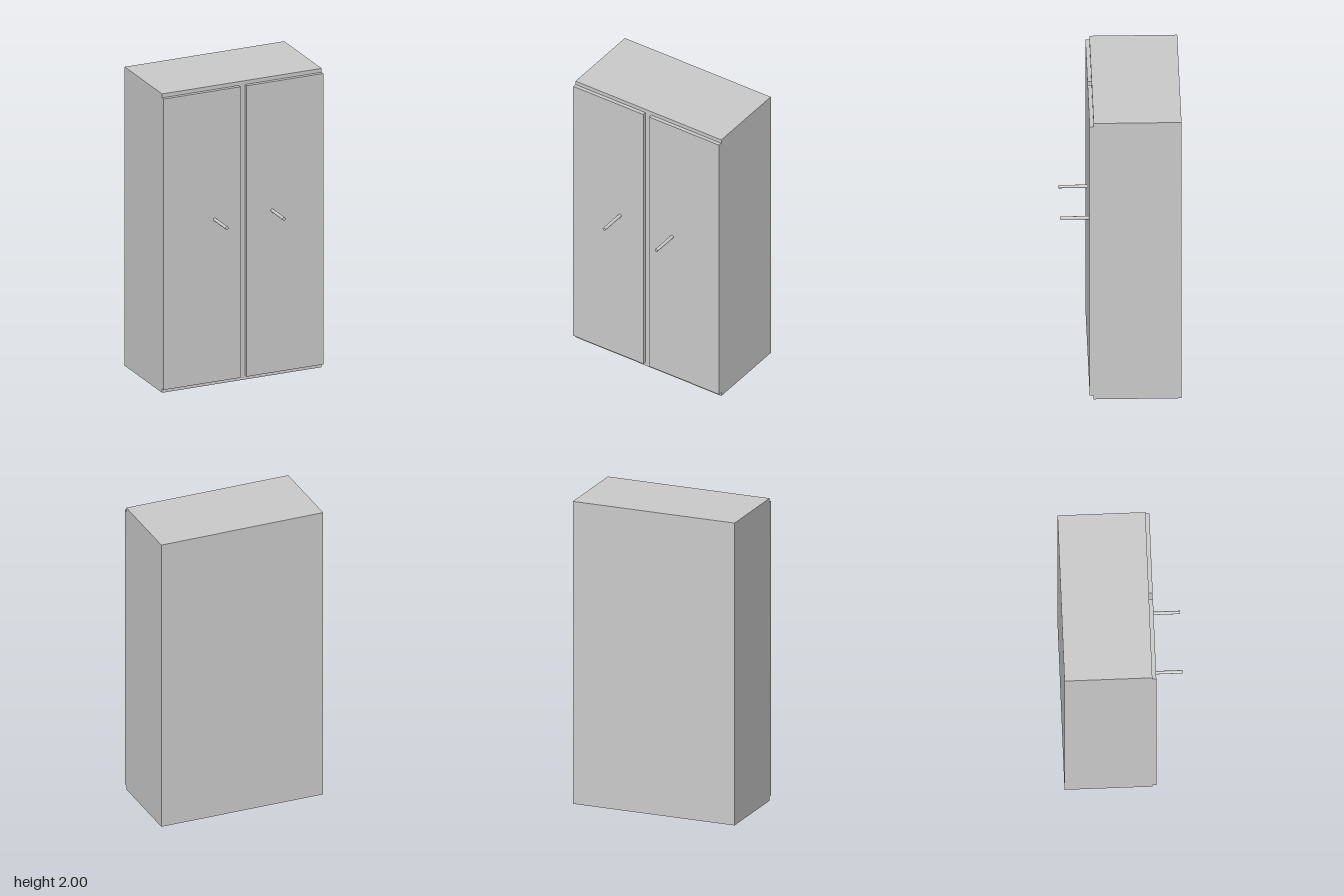
import * as THREE from 'three';

const material = new THREE.MeshStandardMaterial({ color: 0xcccccc });

function addMesh(parent, name, geometry, x, y, z) {
  const mesh = new THREE.Mesh(geometry, material);
  mesh.name = name;
  mesh.position.set(x, y, z);
  parent.add(mesh);
  return mesh;
}

export function createModel() {
  const wardrobe = new THREE.Group();
  wardrobe.name = 'wardrobe';

  const halfWidth = 0.555, height = 2;
  const back = -0.378, front = 0.175, doorFront = 0.2, handleEnd = 0.378;

  // Cabinet body
  addMesh(wardrobe, 'cabinetBody',
    new THREE.BoxGeometry(halfWidth * 2, height, front - back),
    0, height / 2, (front + back) / 2);

  // Two mirrored doors, each with a straight rod handle
  const gap = 0.022, doorBottom = 0.027, doorTop = 1.974;
  const doorGeometry = new THREE.BoxGeometry(halfWidth - gap, doorTop - doorBottom, doorFront - front);
  const handleGeometry = new THREE.CylinderGeometry(0.0105, 0.0105, handleEnd - doorFront, 24);
  handleGeometry.rotateX(Math.PI / 2);

  for (const [side, sign] of [['left', 1], ['right', -1]]) {
    const door = new THREE.Group();
    door.name = side + 'DoorAssembly';
    addMesh(door, side + 'Door', doorGeometry,
      sign * (halfWidth + gap) / 2, (doorTop + doorBottom) / 2, (doorFront + front) / 2);
    addMesh(door, side + 'Handle', handleGeometry,
      sign * 0.199, 1.113, (doorFront + handleEnd) / 2);
    wardrobe.add(door);
  }

  return wardrobe;
}
